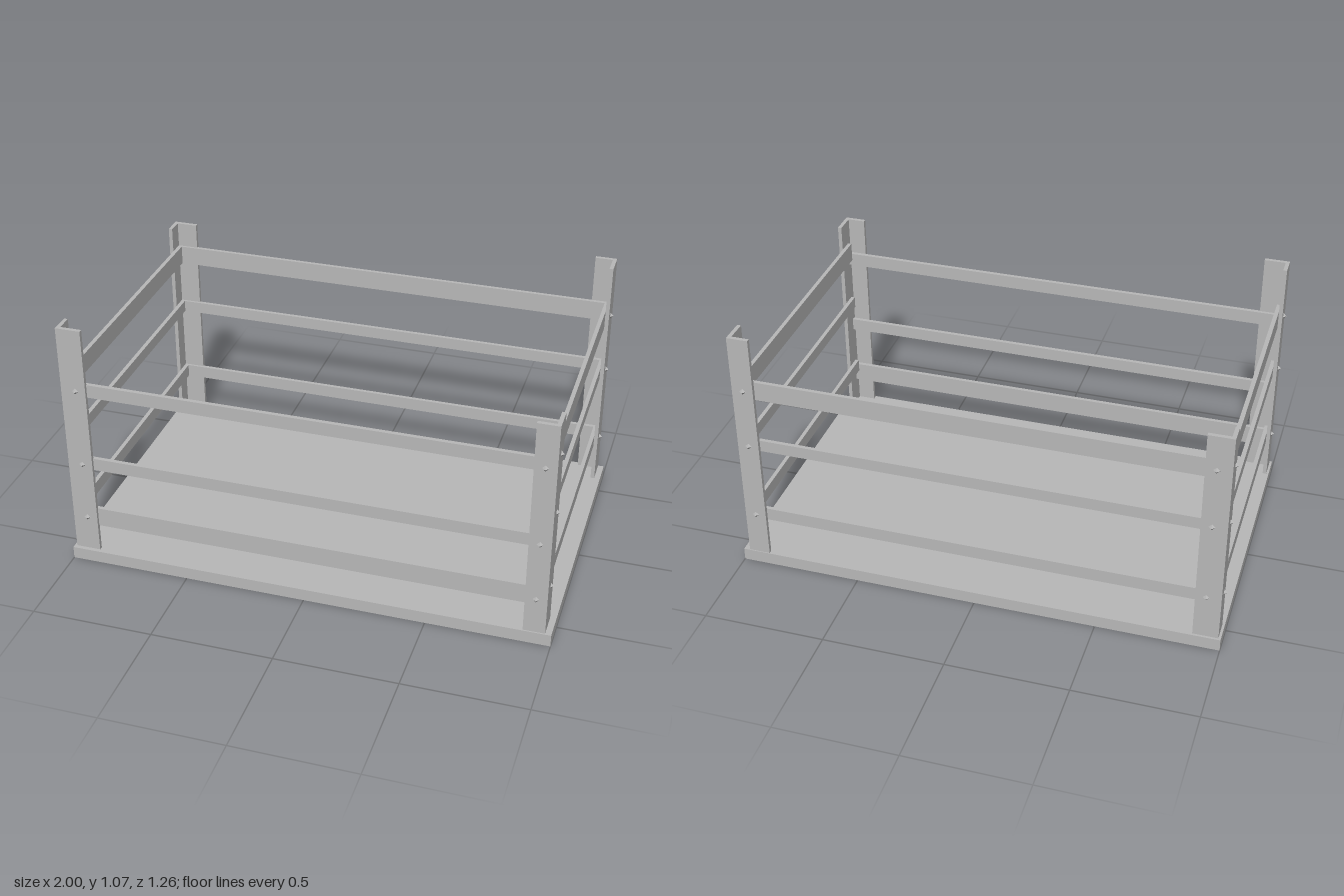
import * as THREE from 'three';

export function createModel() {
  const model = new THREE.Group();
  model.name = 'railedPlatform';
  const steel = new THREE.MeshStandardMaterial({ color: 0xb8b8b8 });
  steel.name = 'grey steel';

  // Box given by its limits on each axis
  function box(name, x0, x1, y0, y1, z0, z1, parent = model) {
    const mesh = new THREE.Mesh(new THREE.BoxGeometry(x1 - x0, y1 - y0, z1 - z0), steel);
    mesh.position.set((x0 + x1) / 2, (y0 + y1) / 2, (z0 + z1) / 2);
    mesh.name = name;
    parent.add(mesh);
  }

  const deck = 0.052, plate = 0.016;
  box('basePlate', -1, 1, 0, deck, -0.622, 0.622);

  // Rail heights [bottom, top]
  const sideRails = [[0.215, 0.27], [0.555, 0.605], [0.797, 0.878]];
  const frontRails = [[0.165, 0.248], [0.435, 0.488], [0.772, 0.828]];

  // Corner posts: L-section angles, with outer and inner limits in x and z
  const posts = [
    { name: 'frontRightPost', xo: -0.99, xi: -0.887, zo: 0.605, zi: 0.522, top: 1.07 },
    { name: 'frontLeftPost', xo: 0.975, xi: 0.887, zo: 0.616, zi: 0.513, top: 0.985 },
    { name: 'backLeftPost', xo: 0.975, xi: 0.887, zo: -0.618, zi: -0.515, top: 1.073 },
    { name: 'backRightPost', xo: -0.99, xi: -0.887, zo: -0.612, zi: -0.53, top: 0.985 },
  ];
  const boltGeometry = new THREE.OctahedronGeometry(0.013);

  for (const { name, xo, xi, zo, zi, top } of posts) {
    const post = new THREE.Group();
    post.name = name;
    model.add(post);

    // One L-shaped section, extruded upwards
    const tx = Math.sign(xo) * plate, tz = Math.sign(zo) * plate;
    const section = new THREE.Shape([
      [xo, zo], [xi, zo], [xi, zo - tz], [xo - tx, zo - tz], [xo - tx, zi], [xo, zi],
    ].map(([x, z]) => new THREE.Vector2(x, -z)));
    const geometry = new THREE.ExtrudeGeometry(section, { depth: top - deck, bevelEnabled: false });
    geometry.rotateX(-Math.PI / 2).translate(0, deck, 0);
    const angle = new THREE.Mesh(geometry, steel);
    angle.name = 'angleSection';
    post.add(angle);

    // Bolt heads on both outer faces, one per rail
    const bolt = (x, y, z) => {
      const mesh = new THREE.Mesh(boltGeometry, steel);
      mesh.position.set(x, y, z);
      mesh.name = 'bolt';
      post.add(mesh);
    };
    for (const [y0, y1] of zo > 0 ? frontRails : sideRails) {
      bolt(Math.sign(xo) * 0.93, (y0 + y1) / 2, zo);
    }
    for (const [y0, y1] of sideRails) bolt(xo, (y0 + y1) / 2, Math.sign(zo) * 0.56);
  }

  // Rails bolted inside the post flanges
  for (const [y0, y1] of frontRails) box('frontRail', -0.974, 0.959, y0, y1, 0.575, 0.592);
  for (const [y0, y1] of sideRails) {
    box('backRail', -0.974, 0.959, y0, y1, -0.602, -0.586);
    box('leftRail', 0.943, 0.959, y0, y1, -0.586, 0.575);
    box('rightRail', -0.974, -0.957, y0, y1, -0.586, 0.575);
  }
  return model;
}
